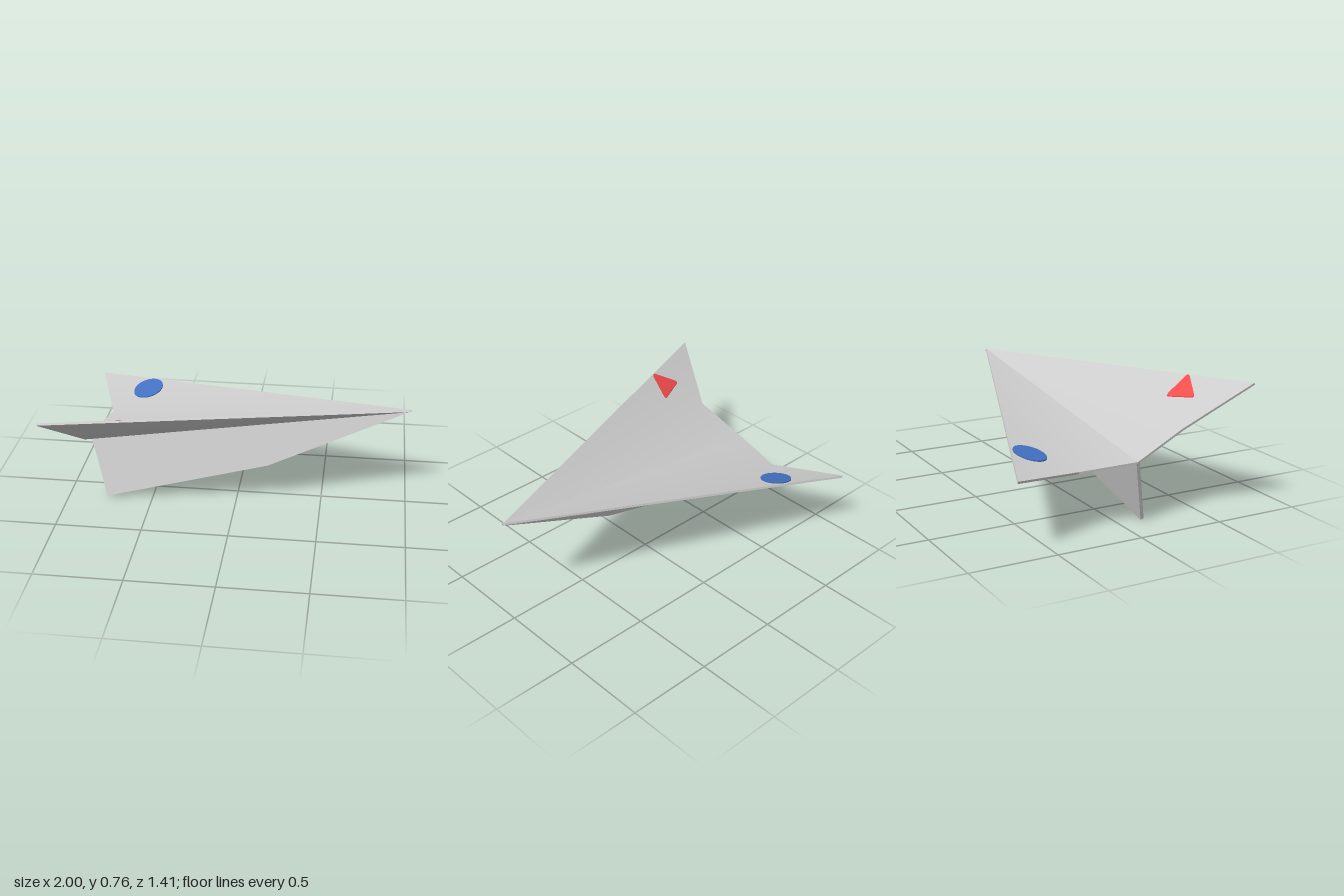
import * as THREE from 'three';

const V = (x, y, z) => new THREE.Vector3(x, y, z);

// Key points of the folded sheet
const nose = V(0.998, 0.626, 0.043);
const tail = V(-0.875, 0.37, 0.048);
const leftNotch = V(-0.83, 0.5, 0.36), leftTip = V(-0.998, 0.752, 0.698);
const rightNotch = V(-0.81, 0.345, -0.275), rightTip = V(-0.958, 0.405, -0.703);
const keelBottom = V(-0.77, 0.003, 0.148), keelBend = V(0.19, 0.257, 0.114);

// Thin sheet: a fan from the first point, thickened along its smooth normals
function sheet(name, pts, thickness) {
  const fan = [];
  for (let i = 1; i < pts.length - 1; i++) fan.push(0, i, i + 1);
  const face = new THREE.BufferGeometry().setFromPoints(pts);
  face.setIndex(fan);
  face.computeVertexNormals();
  const normals = pts.map((_, i) => new THREE.Vector3().fromBufferAttribute(face.attributes.normal, i));
  const top = pts.map((p, i) => p.clone().addScaledVector(normals[i], thickness / 2));
  const bottom = pts.map((p, i) => p.clone().addScaledVector(normals[i], -thickness / 2));
  const pos = [], nor = [];
  const add = (p, n) => { pos.push(...p.toArray()); nor.push(...n.toArray()); };
  // Two broad faces
  for (let k = 0; k < fan.length; k += 3) {
    const tri = [fan[k], fan[k + 1], fan[k + 2]];
    tri.forEach(i => add(top[i], normals[i]));
    tri.reverse().forEach(i => add(bottom[i], normals[i].clone().negate()));
  }
  // Rim
  for (let i = 0; i < pts.length; i++) {
    const j = (i + 1) % pts.length;
    const n = pts[j].clone().sub(pts[i]).cross(normals[i]).normalize();
    [bottom[i], bottom[j], top[j], bottom[i], top[j], top[i]].forEach(p => add(p, n));
  }
  const geo = new THREE.BufferGeometry();
  geo.setAttribute('position', new THREE.Float32BufferAttribute(pos, 3));
  geo.setAttribute('normal', new THREE.Float32BufferAttribute(nor, 3));
  const mesh = new THREE.Mesh(geo, new THREE.MeshStandardMaterial({ color: 0xcccccc }));
  mesh.name = name;
  return mesh;
}

// Flat badge drawn in plan (x, -z) and laid on the slope of a wing's outer panel
function badge(name, shape, panel, color) {
  const geo = new THREE.ExtrudeGeometry(shape, { depth: 0.014, bevelEnabled: false, curveSegments: 24 });
  geo.rotateX(-Math.PI / 2);
  const plane = new THREE.Plane().setFromCoplanarPoints(...panel);
  const n = plane.normal, pos = geo.attributes.position;
  for (let i = 0; i < pos.count; i++) {
    const slopeY = -(plane.constant + n.x * pos.getX(i) + n.z * pos.getZ(i)) / n.y;
    pos.setY(i, pos.getY(i) + slopeY);
  }
  geo.computeVertexNormals();
  const mesh = new THREE.Mesh(geo, new THREE.MeshStandardMaterial({ color }));
  mesh.name = name;
  return mesh;
}

// Polygon with softened corners
function roundedPolygon(points, r) {
  const shape = new THREE.Shape();
  points.forEach((p, i) => {
    const prev = points[(i + points.length - 1) % points.length];
    const next = points[(i + 1) % points.length];
    const a = p.clone().add(prev.clone().sub(p).setLength(r));
    const b = p.clone().add(next.clone().sub(p).setLength(r));
    if (i === 0) shape.moveTo(a.x, a.y);
    else shape.lineTo(a.x, a.y);
    shape.quadraticCurveTo(p.x, p.y, b.x, b.y);
  });
  shape.closePath();
  return shape;
}

export function createModel() {
  const group = new THREE.Group();
  group.name = 'paperPlane';

  // Wings and keel share the centre fold
  group.add(
    sheet('leftWing', [nose, tail, leftNotch, leftTip], 0.013),
    sheet('rightWing', [nose, tail, rightNotch, rightTip], 0.013),
    sheet('keel', [nose, tail, keelBottom, keelBend], 0.02),
  );

  // Coloured badges
  const disc = new THREE.Shape().absarc(-0.624, 0.466, 0.09, 0, Math.PI * 2);
  group.add(badge('roundBadge', disc, [nose, rightNotch, rightTip], 0x4472c4));
  const triangle = roundedPolygon([
    new THREE.Vector2(-0.74, -0.492),
    new THREE.Vector2(-0.578, -0.562),
    new THREE.Vector2(-0.562, -0.418),
  ], 0.025);
  group.add(badge('triangleBadge', triangle, [nose, leftNotch, leftTip], 0xf24a4a));
  return group;
}
